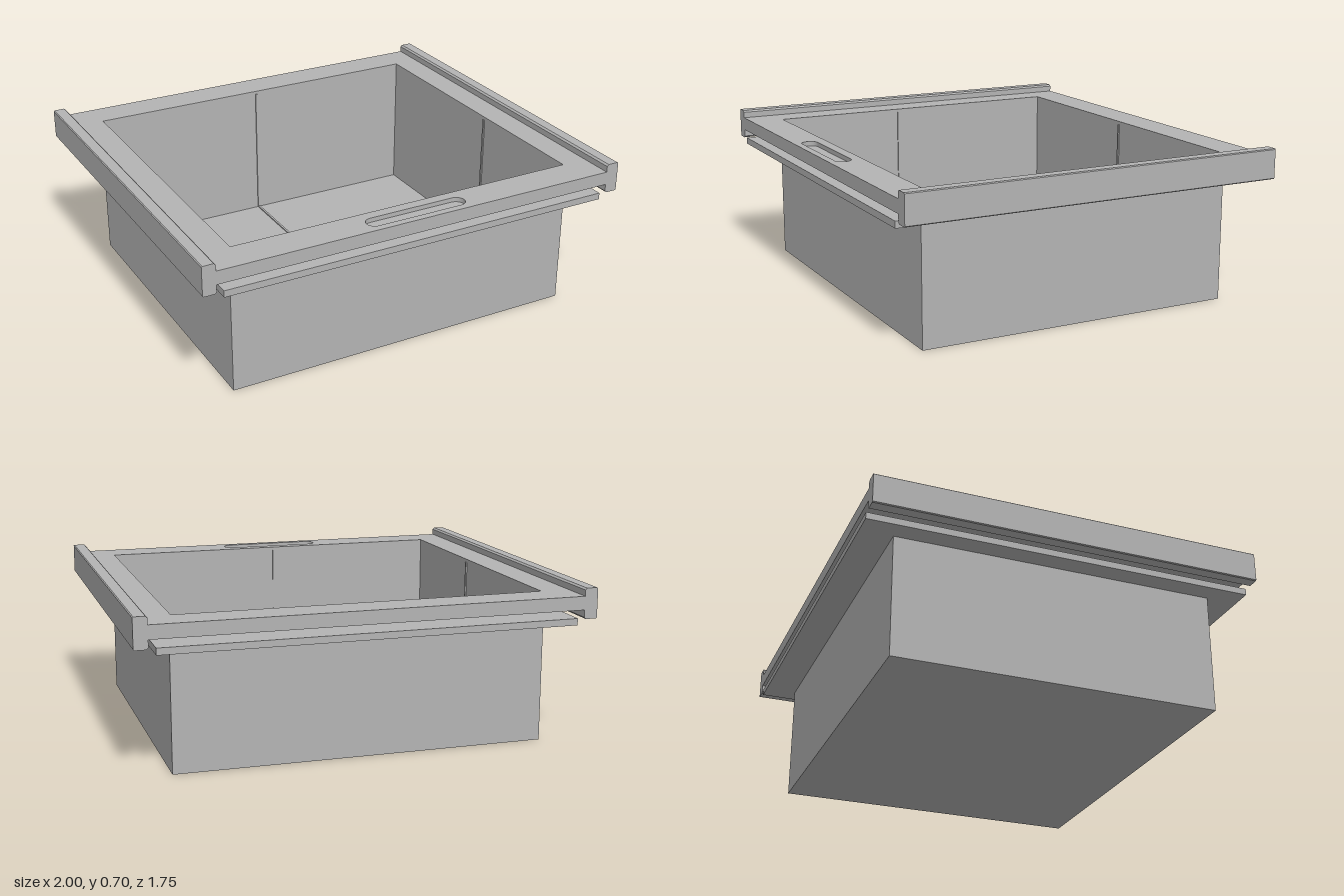
import * as THREE from 'three';

export function createModel() {
  const group = new THREE.Group();
  group.name = 'storageDrawer';
  const grey = new THREE.MeshStandardMaterial({ color: 0xb4b4b4 });
  grey.name = 'grey plastic';
  const depth = 1.75;

  const add = (name, geometry) => {
    const mesh = new THREE.Mesh(geometry, grey);
    mesh.name = name;
    group.add(mesh);
    return mesh;
  };
  const box = (name, x0, x1, y0, y1, z0, z1) =>
    add(name, new THREE.BoxGeometry(x1 - x0, y1 - y0, z1 - z0))
      .position.set((x0 + x1) / 2, (y0 + y1) / 2, (z0 + z1) / 2);

  // Outlines are drawn in plan, with shape y = -z
  const rect = (Kind, x0, x1, z0, z1) => new Kind([
    [x0, -z1], [x1, -z1], [x1, -z0], [x0, -z0],
  ].map(([x, y]) => new THREE.Vector2(x, y)));
  const slab = (name, outline, holes, y0, y1) => {
    outline.holes.push(...holes);
    const g = new THREE.ExtrudeGeometry(outline, { depth: y1 - y0, bevelEnabled: false, curveSegments: 16 });
    g.rotateX(-Math.PI / 2).translate(0, y0, 0);
    return add(name, g);
  };

  // Bin: thin walls and a floor
  const inner = { x0: -0.81, x1: 0.82, z0: -0.72, z1: 0.72 };
  const cavity = () => rect(THREE.Path, inner.x0, inner.x1, inner.z0, inner.z1);
  const bore = () => rect(THREE.Path, -0.82, 0.83, -0.73, 0.73);
  const floorY = 0.025;
  slab('binWalls', rect(THREE.Shape, -0.82, 0.83, -0.73, 0.73), [cavity()], 0, 0.67);
  box('binFloor', inner.x0, inner.x1, 0, floorY, inner.z0, inner.z1);

  // Top frame with a shallow rounded finger slot near the front
  const slot = new THREE.Path();
  slot.absarc(0.2, -0.805, 0.037, -Math.PI / 2, Math.PI / 2);
  slot.absarc(-0.2, -0.805, 0.037, Math.PI / 2, Math.PI * 1.5);
  slot.closePath();
  const frame = () => rect(THREE.Shape, -0.945, 0.945, -depth / 2, depth / 2);
  slab('frameTop', frame(), [bore(), slot], 0.65, 0.67);
  slab('frameBase', frame(), [bore()], 0.61, 0.65);

  // Lower flange, separated from the frame by a gap
  slab('lowerFlange', rect(THREE.Shape, -0.91, 0.91, -depth / 2, depth / 2), [bore()], 0.545, 0.575);

  // Side rails with softened edges, running front to back
  const c = 0.008, w = 0.03, h = 0.0675;
  const profile = new THREE.Shape([
    [-w + c, -h], [w - c / 2, -h], [w, -h + c / 2], [w, h - c / 2],
    [w - c / 2, h], [-w + c, h], [-w, h - c], [-w, -h + c],
  ].map(([x, y]) => new THREE.Vector2(x, y)));
  for (const side of [1, -1]) {
    const g = new THREE.ExtrudeGeometry(profile, { depth, bevelEnabled: false });
    g.translate(0, 0, -depth / 2);
    if (side < 0) g.rotateY(Math.PI);
    add(side > 0 ? 'leftRail' : 'rightRail', g).position.set(side * 0.97, 0.6375, 0);
  }

  // Fine divider ribs across the floor and up the walls
  const t = 0.005, p = 0.006, rz = 0.1;
  box('floorRibLong', -t, t, floorY, floorY + p, inner.z0, inner.z1);
  box('floorRibCross', inner.x0, inner.x1, floorY, floorY + p, rz - t, rz + t);
  box('backWallRib', -t, t, floorY, 0.655, inner.z0, inner.z0 + p);
  box('frontWallRib', -t, t, floorY, 0.655, inner.z1 - p, inner.z1);
  box('rightWallRib', inner.x0, inner.x0 + p, floorY, 0.655, rz - t, rz + t);
  box('leftWallRib', inner.x1 - p, inner.x1, floorY, 0.655, rz - t, rz + t);

  return group;
}
